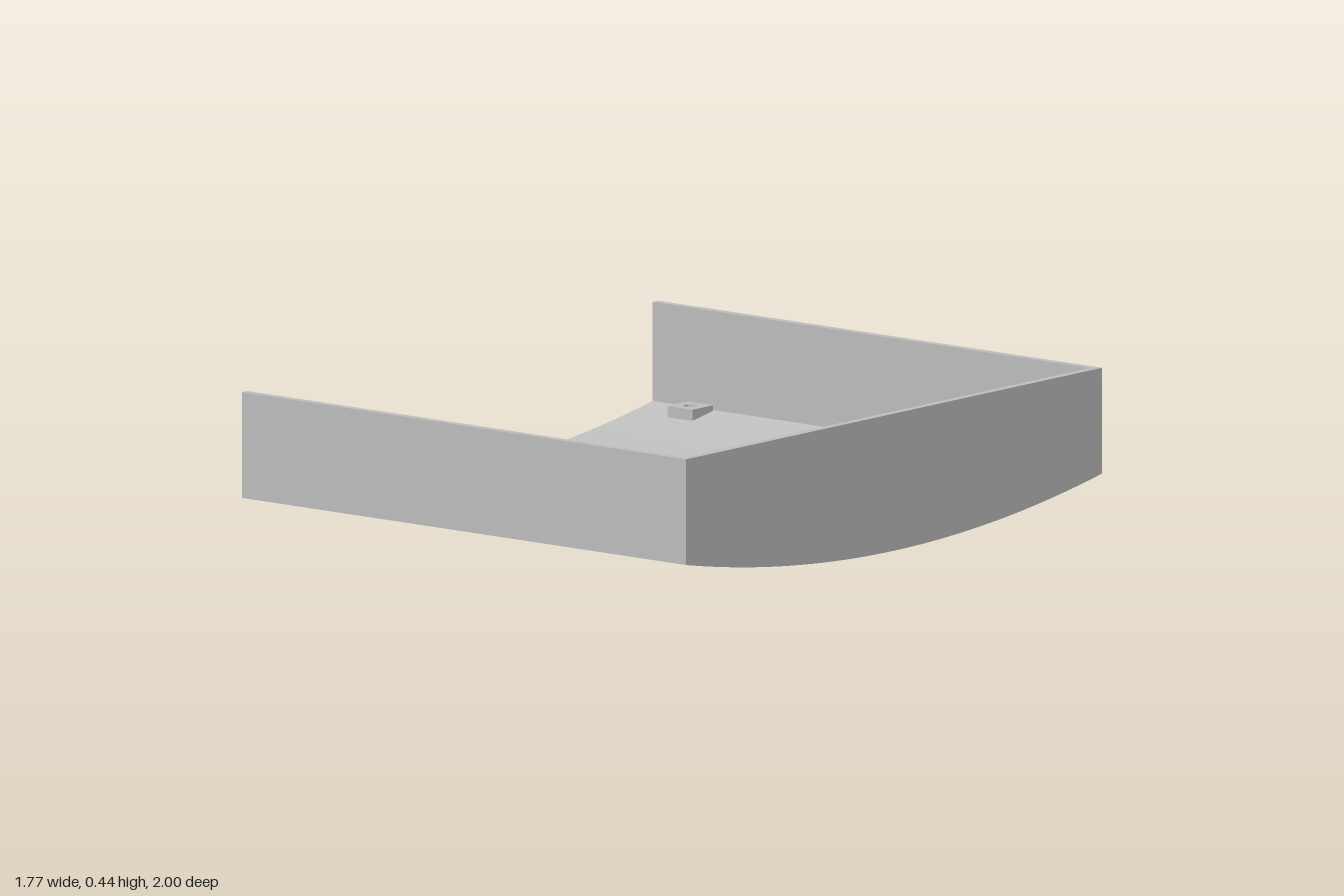
import * as THREE from 'three';
import { toCreasedNormals } from 'three/addons/utils/BufferGeometryUtils.js';

const HALF_X = 0.885, TOP = 0.435, WALL = 0.026;
const BOSS = { x: -0.69, half: 0.05, height: 0.075, hole: 0.02 };
const BOSSES = [{ z: -0.92, y: 0.067 }, { z: -0.425, y: 0 }];

// Height of the curved underside at depth z
const under = (z) => 0.007 + 0.098 * z * z;

// Solid running from x0 to x1, its underside curved between z0 and z1
function curvedSolid(z0, z1, x0, x1, topAt) {
  const n = Math.max(2, Math.ceil((z1 - z0) * 24));
  const zs = Array.from({ length: n + 1 }, (_, i) => z0 + ((z1 - z0) * i) / n);
  const lower = zs.map((z) => new THREE.Vector2(-z, under(z)));
  const upper = topAt
    ? zs.map((z) => new THREE.Vector2(-z, topAt(z))).reverse()
    : [new THREE.Vector2(-z1, TOP), new THREE.Vector2(-z0, TOP)];
  const geo = new THREE.ExtrudeGeometry(new THREE.Shape([...lower, ...upper]), {
    depth: x1 - x0, bevelEnabled: false,
  });
  geo.rotateY(Math.PI / 2).translate(x0, 0, 0);
  return toCreasedNormals(geo, 0.4);
}

export function createModel() {
  const model = new THREE.Group();
  model.name = 'curvedTray';
  const grey = new THREE.MeshStandardMaterial({ color: 0xc0c0c0 });
  grey.name = 'plain grey';
  const add = (name, geo, parent = model) => {
    const mesh = new THREE.Mesh(geo, grey);
    mesh.name = name;
    parent.add(mesh);
    return mesh;
  };

  // Walls on three sides; the right side stays open
  const inner = 1 - WALL, innerX = HALF_X - WALL;
  add('leftWall', curvedSolid(-1, 1, innerX, HALF_X));
  add('frontWall', curvedSolid(inner, 1, -HALF_X, innerX));
  add('backWall', curvedSolid(-1, -inner, -HALF_X, innerX));

  // Curved floor, in strips that leave square openings for the bosses
  const floor = new THREE.Group();
  floor.name = 'floor';
  model.add(floor);
  const floorTop = (z) => under(z) + WALL;
  const strip = (z0, z1, x0, x1) => add('floorStrip', curvedSolid(z0, z1, x0, x1, floorTop), floor);
  const bx0 = BOSS.x - BOSS.half, bx1 = BOSS.x + BOSS.half;
  strip(-inner, inner, -HALF_X, bx0);
  strip(-inner, inner, bx1, innerX);
  let z = -inner;
  for (const b of BOSSES) {
    strip(z, b.z - BOSS.half, bx0, bx1);
    z = b.z + BOSS.half;
  }
  strip(z, inner, bx0, bx1);

  // Square bosses with a screw hole right through
  const square = new THREE.Shape([[-1, -1], [1, -1], [1, 1], [-1, 1]].map(
    ([x, y]) => new THREE.Vector2(x * BOSS.half, y * BOSS.half)));
  square.holes.push(new THREE.Path().absarc(0, 0, BOSS.hole, 0, Math.PI * 2, true));
  const bossGeo = toCreasedNormals(new THREE.ExtrudeGeometry(square, {
    depth: BOSS.height, bevelEnabled: false, curveSegments: 24,
  }).rotateX(-Math.PI / 2), 0.6);
  BOSSES.forEach((b, i) => {
    add(i ? 'middleScrewBoss' : 'rearScrewBoss', bossGeo).position.set(BOSS.x, b.y, b.z);
  });

  return model;
}
